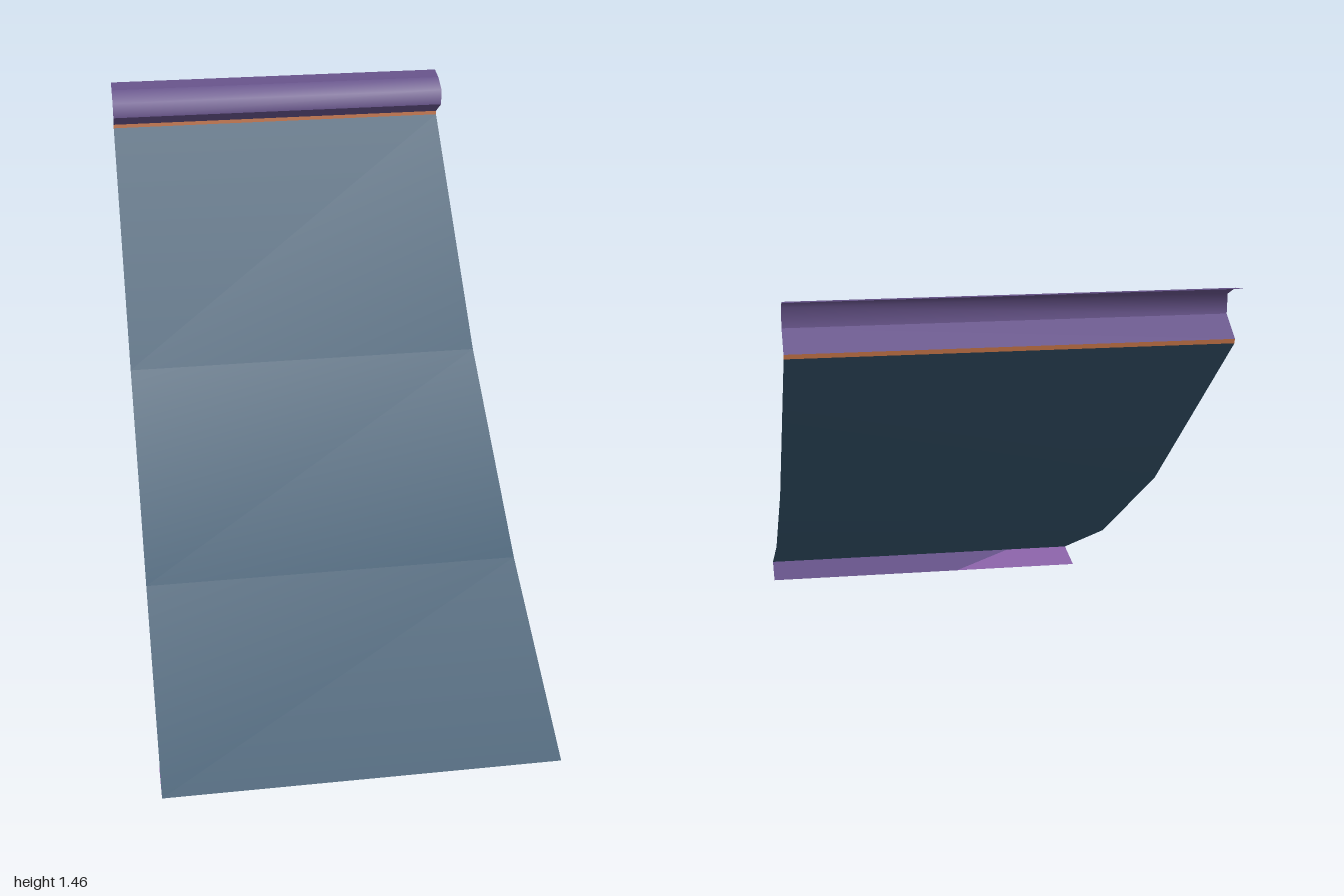
import * as THREE from 'three';

const HALF = 0.57;

// Open sheet swept across x; each profile row is [z, y, xMin?, xMax?]
function sheet(name, rows, material) {
  const pos = [], index = [];
  rows.forEach(([z, y, x0 = -HALF, x1 = HALF], i) => {
    pos.push(x0, y, z, x1, y, z);
    if (i > 0) {
      const a = 2 * i - 2;
      index.push(a, a + 1, a + 3, a, a + 3, a + 2);
    }
  });
  const geo = new THREE.BufferGeometry();
  geo.setAttribute('position', new THREE.Float32BufferAttribute(pos, 3));
  geo.setIndex(index);
  geo.computeVertexNormals();
  const mesh = new THREE.Mesh(geo, material);
  mesh.name = name;
  return mesh;
}

function paint(name, color) {
  const m = new THREE.MeshStandardMaterial({ color, side: THREE.DoubleSide });
  m.name = name;
  return m;
}

export function createModel() {
  const blue = paint('slateBlue', 0x34536a);
  const purple = paint('dustyPurple', 0x655288);
  const lilac = paint('lilac', 0x8a62a8);
  const orange = paint('copperOrange', 0xb56a40);

  const group = new THREE.Group();
  group.name = 'slopedPanel';
  group.add(
    // Gently curved main slope, front bottom to back top
    sheet('slope', [[1, 0.015], [0.387, 0.31], [-0.258, 0.72], [-0.956, 1.313]], blue),
    // Thin trim along the upper edge
    sheet('trim', [[-0.956, 1.313], [-0.958, 1.325]], orange),
    // Hooked rail at the top: undercut, rounded face, flat top
    sheet('railUndercut', [[-0.958, 1.325], [-0.88, 1.373]], purple),
    sheet('railFace', [[-0.88, 1.373], [-0.88, 1.425], [-0.94, 1.453]], purple),
    sheet('railTop', [[-0.94, 1.453], [-1, 1.463]], purple),
    // Flap folded back under the lower edge, with a lighter corner
    sheet('flap', [[1, 0.015, -0.34], [0.85, 0, -0.12]], purple),
    sheet('flapCorner', [[1, 0.015, -HALF, -0.34], [0.85, 0, -HALF, -0.12]], lilac),
  );
  return group;
}
